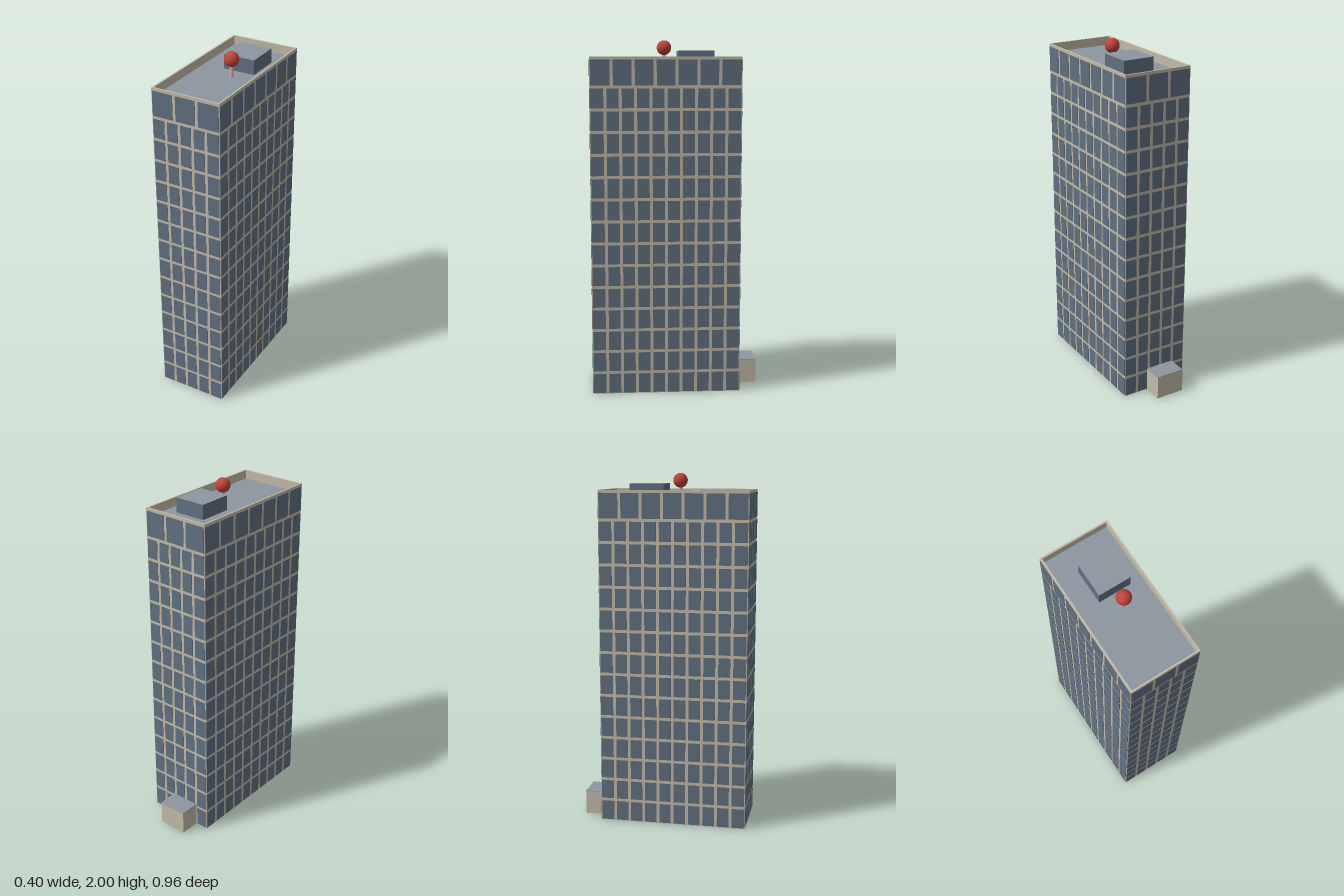
import * as THREE from 'three';
import { mergeGeometries } from 'three/addons/utils/BufferGeometryUtils.js';

const mat = (name, color) => {
  const m = new THREE.MeshStandardMaterial({ color });
  m.name = name;
  return m;
};

// Building extents
const HX = 0.2, Z0 = -0.363, Z1 = 0.478, TOP = 1.91, ROOF = 1.86, WALL = 0.01;
const FLOORS = 14, FLOOR_H = 0.1247, BAND = 0.017, EDGE = 0.004;

export function createModel() {
  const trim = mat('beige concrete', 0xc3baa8);
  const glass = mat('blue glass', 0x607080);
  const roofing = mat('grey roofing', 0x8d979f);
  const red = mat('red beacon', 0xc0443a);

  const model = new THREE.Group();
  model.name = 'tower';
  const add = (name, geometry, material, x = 0, y = 0, z = 0, parent = model) => {
    const mesh = new THREE.Mesh(geometry, material);
    mesh.name = name;
    mesh.position.set(x, y, z);
    parent.add(mesh);
    return mesh;
  };

  // Upright walls extruded from a plan of [x, z] corners
  const plan = (points, Type = THREE.Shape) =>
    new Type(points.map(([x, z]) => new THREE.Vector2(x, -z)));
  const rect = (x0, x1, z0, z1) => [[x0, z1], [x1, z1], [x1, z0], [x0, z0]];
  const raise = (shape, height) =>
    new THREE.ExtrudeGeometry(shape, { depth: height, bevelEnabled: false }).rotateX(-Math.PI / 2);

  // Tower shell, open below, rising past the roof as a parapet
  const shell = plan(rect(-HX, HX, Z0, Z1));
  shell.holes.push(plan(rect(-HX + WALL, HX - WALL, Z0 + WALL, Z1 - WALL), THREE.Path));
  add('towerWalls', raise(shell, TOP), trim);
  const midZ = (Z0 + Z1) / 2, length = Z1 - Z0;
  add('mainRoof', new THREE.BoxGeometry(2 * HX - WALL, 0.01, length - WALL), roofing, 0, ROOF - 0.005, midZ);

  // Window panes of one facade, as thin plates facing +z
  const panes = (width, columns, topColumns) => {
    const list = [];
    const row = (count, y0, y1) => {
      const pitch = width / count;
      for (let i = 0; i < count; i++) {
        const a = -width / 2 + i * pitch + (i ? BAND / 2 : EDGE);
        const b = -width / 2 + (i + 1) * pitch - (i < count - 1 ? BAND / 2 : EDGE);
        list.push(new THREE.BoxGeometry(b - a, y1 - y0, 0.004).translate((a + b) / 2, (y0 + y1) / 2, 0));
      }
    };
    for (let f = 0; f < FLOORS; f++) {
      row(columns, f * FLOOR_H + (f ? BAND / 2 : EDGE), (f + 1) * FLOOR_H - BAND / 2);
    }
    row(topColumns, FLOORS * FLOOR_H + BAND / 2, TOP - 0.016);
    return mergeGeometries(list);
  };
  const narrow = panes(2 * HX, 5, 3);
  const wide = panes(length, 10, 7);
  add('frontWindows', narrow, glass, 0, 0, Z1);
  add('backWindows', narrow, glass, 0, 0, Z0).rotation.y = Math.PI;
  add('leftWindows', wide, glass, HX, 0, midZ).rotation.y = Math.PI / 2;
  add('rightWindows', wide, glass, -HX, 0, midZ).rotation.y = -Math.PI / 2;

  // Rooftop plant room: glass-coloured sides, roofing on top
  const plantTop = 1.943;
  add('plantRoom', new THREE.BoxGeometry(0.185, plantTop - ROOF, 0.197),
    [glass, glass, roofing, glass, glass, glass], 0.0275, (plantTop + ROOF) / 2, -0.1165);

  // Beacon on a short mast
  add('beaconMast', new THREE.CylinderGeometry(0.01, 0.01, 0.08, 12), trim, 0.028, ROOF + 0.04, 0.06);
  add('beacon', new THREE.SphereGeometry(0.041, 32, 20), red, 0.028, 1.96, 0.06);

  // Rear annex: three walls against the tower, open below
  const ax0 = -0.12, ax1 = 0.05, az = -0.48, t = 0.005, ah = 0.14;
  const u = plan([[ax0, Z0], [ax0 + t, Z0], [ax0 + t, az + t], [ax1 - t, az + t],
    [ax1 - t, Z0], [ax1, Z0], [ax1, az], [ax0, az]]);
  add('annexWalls', raise(u, ah - 0.003), trim);
  add('annexRoof', new THREE.BoxGeometry(ax1 - ax0, 0.003, Z0 - az), roofing,
    (ax0 + ax1) / 2, ah - 0.0015, (Z0 + az) / 2);

  return model;
}
